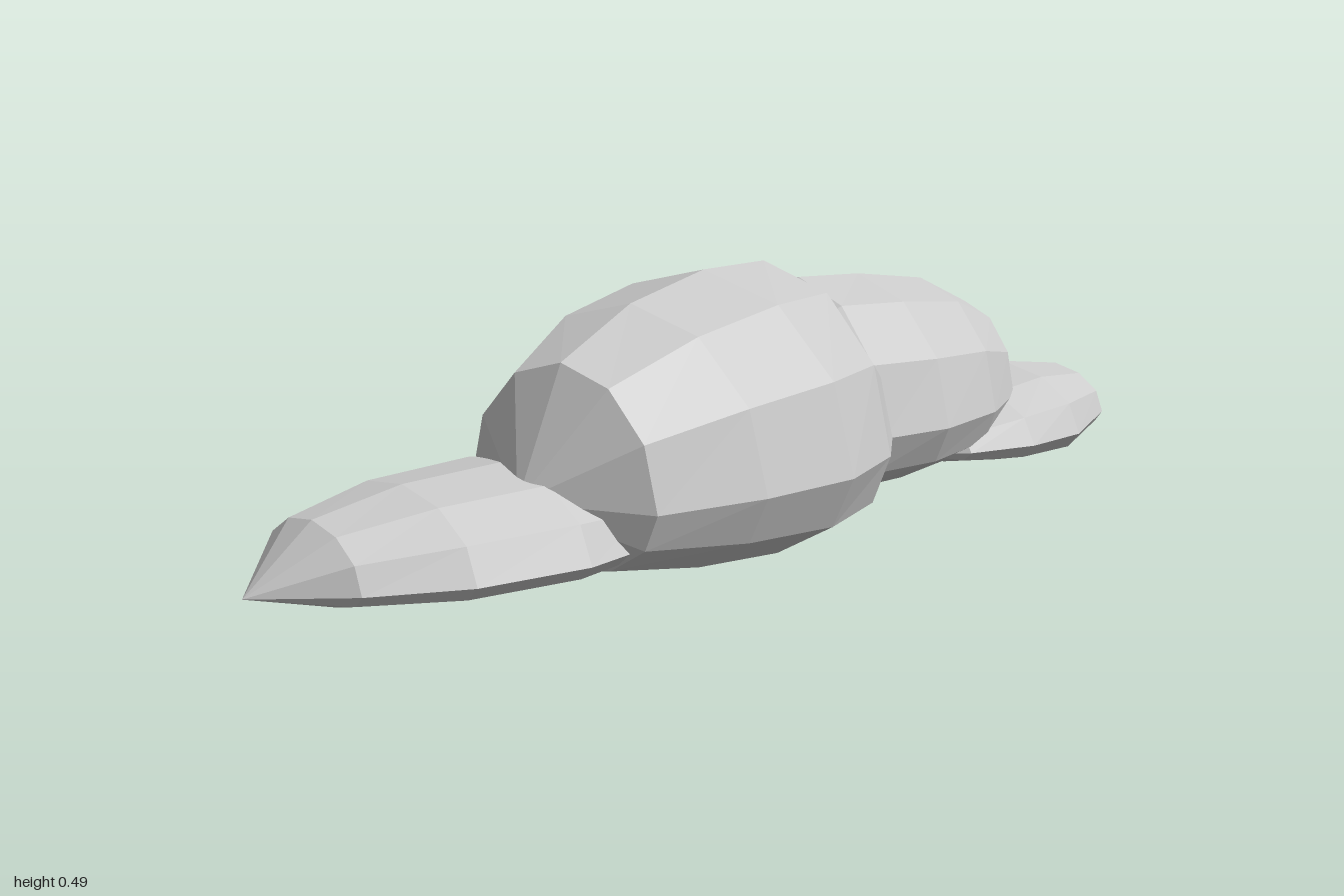
import * as THREE from 'three';

const SIDES = 12;
const material = new THREE.MeshStandardMaterial({ color: 0xcccccc, flatShading: true });

// A faceted puff lying along x: domed above its widest line, flatter below.
// start / end: pole points [x, y, z]; rings: [x, z, half width, height above]
// tilt: x shift per unit of z; waist: height of the widest line; flat: depth below / height above
function puff(name, { start, end, rings, waist, flat, tilt }) {
  const positions = [...start];
  for (const [x, z, width, up] of rings) {
    for (let s = 0; s < SIDES; s++) {
      const a = (s / SIDES) * Math.PI * 2;
      const dz = Math.cos(a) * width;
      const dy = Math.sin(a) * up;
      positions.push(x + dz * tilt, waist + (dy < 0 ? dy * flat : dy), z + dz);
    }
  }
  positions.push(...end);

  const last = positions.length / 3 - 1;
  const at = (ring, s) => 1 + ring * SIDES + (s % SIDES);
  const index = [];
  for (let s = 0; s < SIDES; s++) {
    index.push(0, at(0, s), at(0, s + 1));
    for (let r = 0; r < rings.length - 1; r++) {
      index.push(at(r, s), at(r + 1, s), at(r + 1, s + 1));
      index.push(at(r, s), at(r + 1, s + 1), at(r, s + 1));
    }
    index.push(at(rings.length - 1, s), last, at(rings.length - 1, s + 1));
  }

  const indexed = new THREE.BufferGeometry();
  indexed.setAttribute('position', new THREE.Float32BufferAttribute(positions, 3));
  indexed.setIndex(index);
  const geometry = indexed.toNonIndexed();
  geometry.computeVertexNormals();
  const mesh = new THREE.Mesh(geometry, material);
  mesh.name = name;
  return mesh;
}

export function createModel() {
  const cloud = new THREE.Group();
  cloud.name = 'cloud';

  // Tall central puff
  cloud.add(puff('mainPuff', {
    start: [-0.56, 0.19, 0.06], end: [0.29, 0.18, -0.04],
    waist: 0.18, flat: 0.565, tilt: 0.13,
    rings: [
      [-0.46, 0.055, 0.195, 0.22],
      [-0.275, 0.02, 0.28, 0.285],
      [-0.09, 0.003, 0.31, 0.315],
      [0.07, -0.012, 0.268, 0.308],
      [0.2, -0.025, 0.18, 0.19],
    ],
  }));

  // Second puff, set back on the left
  cloud.add(puff('secondPuff', {
    start: [-0.02, 0.18, -0.1], end: [0.7, 0.18, -0.025],
    waist: 0.18, flat: 0.56, tilt: -0.15,
    rings: [
      [0.07, -0.09, 0.16, 0.16],
      [0.225, -0.075, 0.242, 0.25],
      [0.365, -0.06, 0.256, 0.24],
      [0.515, -0.04, 0.213, 0.215],
      [0.635, -0.032, 0.14, 0.155],
    ],
  }));

  // Low tapered puffs at both ends
  cloud.add(puff('rightEndPuff', {
    start: [-1, 0.1, -0.065], end: [-0.16, 0.11, 0],
    waist: 0.11, flat: 0.42, tilt: -0.12,
    rings: [
      [-0.87, -0.06, 0.143, 0.09],
      [-0.71, -0.04, 0.21, 0.12],
      [-0.51, -0.02, 0.23, 0.125],
      [-0.36, -0.01, 0.2, 0.105],
      [-0.23, 0, 0.12, 0.06],
    ],
  }));
  cloud.add(puff('leftEndPuff', {
    start: [0.36, 0.1, 0.03], end: [1, 0.088, -0.032],
    waist: 0.107, flat: 0.55, tilt: -0.08,
    rings: [
      [0.45, 0.015, 0.14, 0.06],
      [0.58, 0, 0.2, 0.095],
      [0.71, 0.003, 0.198, 0.106],
      [0.88, -0.005, 0.125, 0.075],
    ],
  }));

  return cloud;
}
